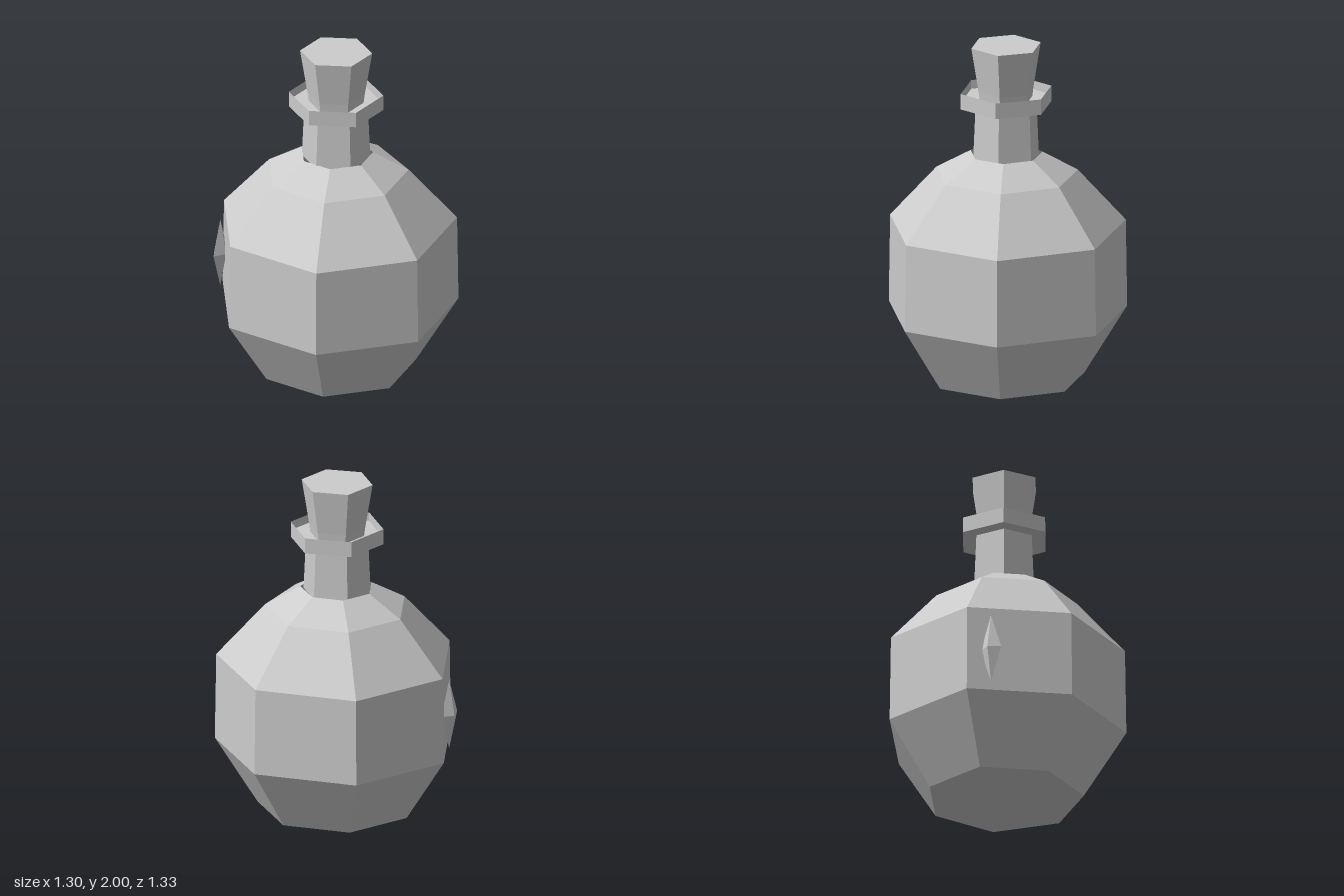
import * as THREE from 'three';

const AXIS_X = -0.034; // shared axis of flask, neck and stopper

export function createModel() {
  const group = new THREE.Group();
  const grey = new THREE.MeshStandardMaterial({ color: 0xcccccc, flatShading: true, side: THREE.DoubleSide });
  grey.name = 'plain grey';

  // Faceted solid of revolution with one corner on +x; profile is [radius, height]
  function turned(name, sides, profile) {
    const points = profile.map(([r, y]) => new THREE.Vector2(r, y));
    const mesh = new THREE.Mesh(new THREE.LatheGeometry(points, sides, Math.PI / 2), grey);
    mesh.name = name;
    mesh.position.x = AXIS_X;
    group.add(mesh);
  }

  // Seven-sided bulb with an open top
  turned('flaskBody', 7, [
    [0, 0], [0.445, 0.07], [0.684, 0.447], [0.676, 0.95], [0.405, 1.255], [0.206, 1.37],
  ]);

  // Six-sided neck
  turned('neck', 6, [[0.192, 1.35], [0.178, 1.66]]);

  // Lip around the neck, with a shallow recess inside
  turned('lip', 6, [[0.17, 1.65], [0.265, 1.65], [0.265, 1.74], [0.264, 1.69], [0.13, 1.69]]);

  // Tapered stopper
  turned('stopper', 6, [[0, 1.66], [0.15, 1.66], [0.16, 1.74], [0.2025, 2], [0, 2]]);

  // Pointed gem set in the back of the body
  const gem = new THREE.Mesh(new THREE.OctahedronGeometry(1), grey);
  gem.name = 'gem';
  gem.scale.set(0.066, 0.205, 0.04);
  gem.position.set(-0.304, 0.69, -0.6);
  group.add(gem);

  return group;
}
